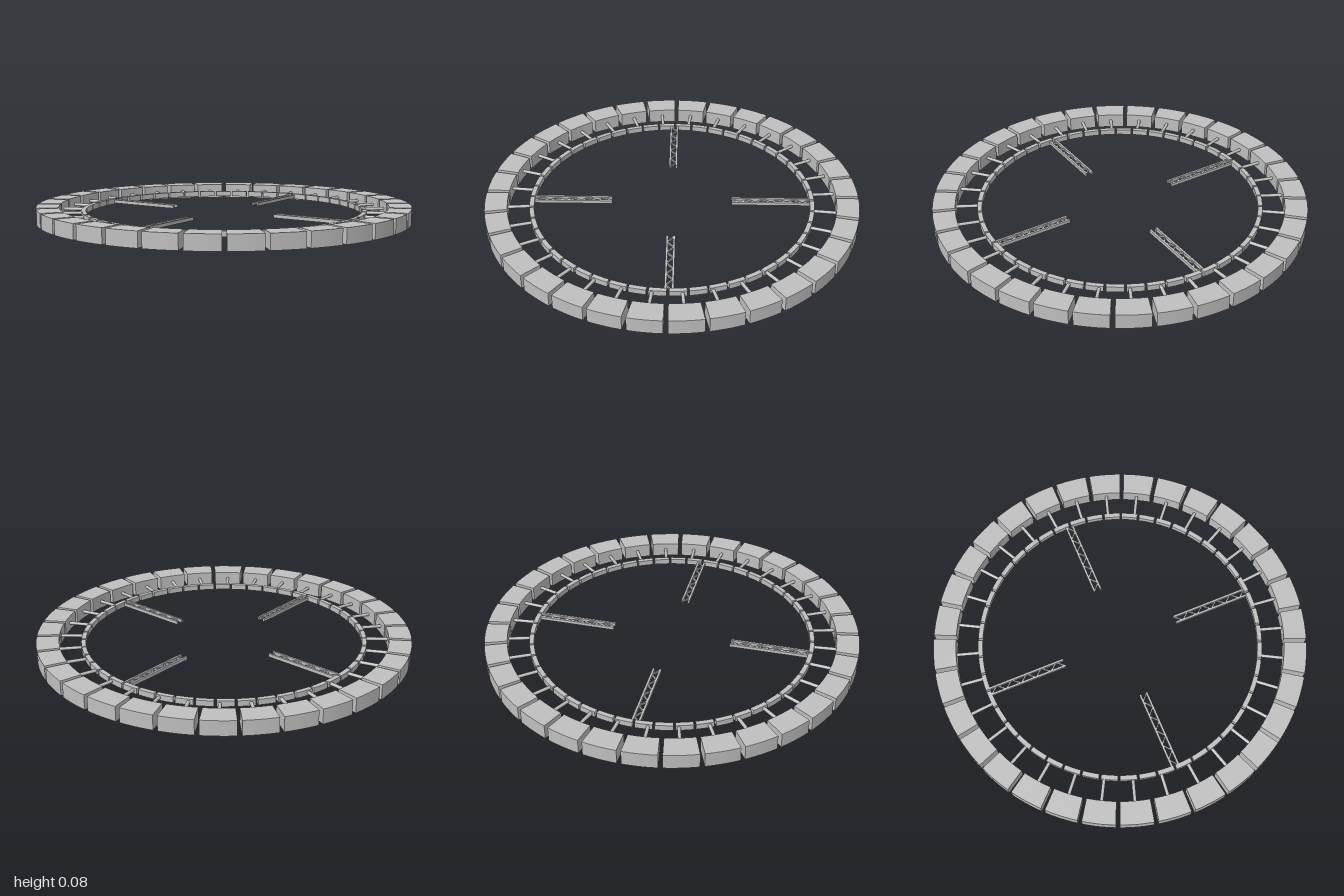
import * as THREE from 'three';

const MID = 0.04; // height of the ring's centre plane
const rad = THREE.MathUtils.degToRad;

// Curved block between two radii and two angles, from y0 to y1
function sector(r0, r1, a0, a1, y0, y1) {
  const s = new THREE.Shape();
  s.absarc(0, 0, r1, rad(a0), rad(a1), false);
  s.absarc(0, 0, r0, rad(a1), rad(a0), true);
  const g = new THREE.ExtrudeGeometry(s, { depth: y1 - y0, bevelEnabled: false, curveSegments: 6 });
  g.rotateX(Math.PI / 2);
  g.translate(0, y1, 0);
  return g;
}

export function createModel() {
  const model = new THREE.Group();
  model.name = 'ringStation';
  const grey = new THREE.MeshStandardMaterial({ color: 0xbfbfbf });
  grey.name = 'grey';

  const add = (parent, name, geometry) => {
    const m = new THREE.Mesh(geometry, grey);
    m.name = name;
    parent.add(m);
    return m;
  };

  // Outer ring of blocks, each with a spoke to the inner ring
  const BLOCKS = 32, step = 360 / BLOCKS, gap = 1.25;
  const blockGeo = sector(0.88, 1, gap, step, 0, 0.08);
  const spokeGeo = new THREE.CylinderGeometry(0.009, 0.009, 0.13, 12);
  spokeGeo.rotateZ(Math.PI / 2);
  spokeGeo.translate(0.82, MID, 0);
  for (let i = 0; i < BLOCKS; i++) {
    add(model, 'outerBlock', blockGeo).rotation.y = -rad(i * step);
    add(model, 'spoke', spokeGeo).rotation.y = -rad(i * step + (gap + step) / 2);
  }

  // Inner ring of short segments
  const SEGMENTS = 48, pitch = 360 / SEGMENTS;
  const segmentGeo = sector(0.74, 0.765, 0.8, pitch, 0.025, 0.055);
  for (let i = 0; i < SEGMENTS; i++) {
    add(model, 'innerSegment', segmentGeo).rotation.y = -rad(i * pitch);
  }

  // Four lattice arms pointing at the centre
  const r0 = 0.322, r1 = 0.745, length = r1 - r0, half = 0.018;
  const railGeo = new THREE.BoxGeometry(length, 0.018, 0.011);
  const BRACES = 10, bay = length / BRACES;
  const braceGeo = new THREE.BoxGeometry(Math.hypot(bay, 2 * half), 0.01, 0.007);
  const tilt = Math.atan2(2 * half, bay);
  for (let k = 0; k < 4; k++) {
    const arm = new THREE.Group();
    arm.name = 'latticeArm';
    arm.position.y = MID;
    arm.rotation.y = Math.PI / 4 + k * Math.PI / 2;
    for (const side of [-1, 1]) {
      add(arm, 'armRail', railGeo).position.set((r0 + r1) / 2, 0, side * half);
    }
    for (let i = 0; i < BRACES; i++) {
      const brace = add(arm, 'armBrace', braceGeo);
      brace.position.x = r0 + (i + 0.5) * bay;
      brace.rotation.y = i % 2 ? tilt : -tilt;
    }
    model.add(arm);
  }
  return model;
}
